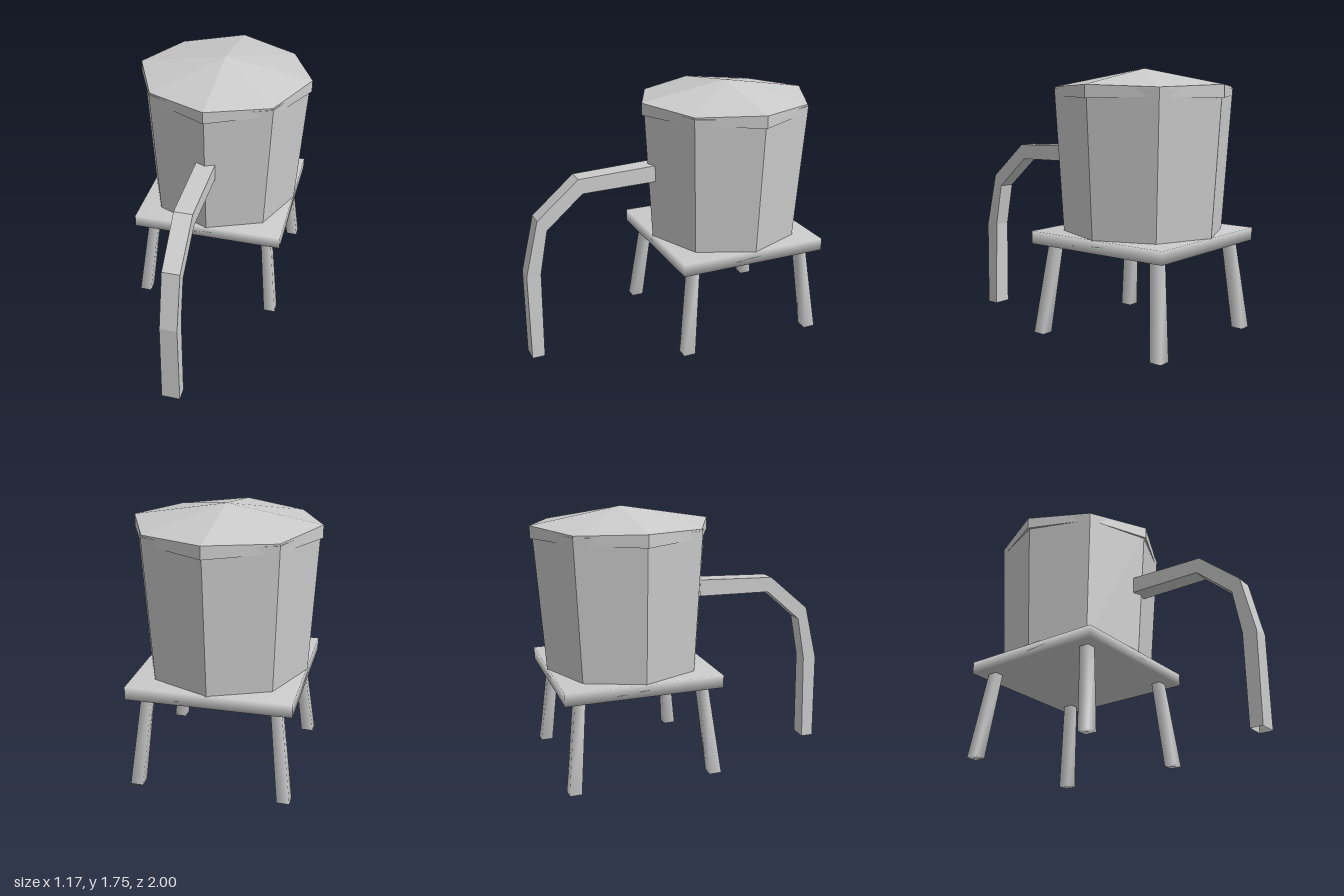
import * as THREE from 'three';
import { mergeVertices } from 'three/addons/utils/BufferGeometryUtils.js';

const CZ = -0.415; // z of the tank axis

const flat = () => new THREE.MeshStandardMaterial({ color: 0xcccccc, flatShading: true });
const smooth = () => new THREE.MeshStandardMaterial({ color: 0xcccccc });

function add(parent, name, geometry, material) {
  const mesh = new THREE.Mesh(geometry, material);
  mesh.name = name;
  parent.add(mesh);
  return mesh;
}

// Box with shared corners, so its normals blend across the edges
function softBox(w, h, d) {
  const box = new THREE.BoxGeometry(w, h, d);
  box.deleteAttribute('normal');
  box.deleteAttribute('uv');
  const geometry = mergeVertices(box);
  geometry.computeVertexNormals();
  return geometry;
}

// Eight-sided lid: the diagonal corners sit slightly further in and lower
function lidGeometry() {
  const profile = [[0, 1.565], [0.585, 1.565], [0.585, 1.645], [0, 1.745]]
    .map(([r, y]) => new THREE.Vector2(r, y));
  const geometry = new THREE.LatheGeometry(profile, 8);
  const p = geometry.attributes.position;
  for (let i = 0; i < p.count; i++) {
    const x = p.getX(i), y = p.getY(i), z = p.getZ(i);
    if (Math.abs(x) > 0.1 && Math.abs(z) > 0.1) {
      p.setXYZ(i, x * 0.968, y > 1.6 ? 1.63 : 1.575, z * 0.968);
    }
  }
  return geometry;
}

// Leg: tapered square post, splayed outward toward its foot
function legGeometry(sx, sz) {
  const geometry = softBox(1, 1, 1);
  const p = geometry.attributes.position;
  for (let i = 0; i < p.count; i++) {
    const top = p.getY(i) > 0;
    const width = top ? 0.066 : 0.08;
    const offset = top ? 0.398 : 0.464;
    p.setXYZ(i, sx * offset + p.getX(i) * width, top ? 0.65 : 0.04, sz * offset + p.getZ(i) * width);
  }
  geometry.computeVertexNormals();
  return geometry;
}

// Spout: open square tube through rings of [half width, outer z, y, inner z, y]
function spoutGeometry() {
  const rings = [
    [0.063, 0.105, 1.235, 0.105, 1.125],
    [0.06, 0.63, 1.215, 0.605, 1.115],
    [0.057, 0.91, 0.975, 0.85, 0.9],
    [0.056, 1.0, 0.6, 0.905, 0.605],
    [0.061, 1.0, 0, 0.915, 0],
  ];
  const positions = [], index = [];
  rings.forEach(([w, oz, oy, iz, iy], r) => {
    positions.push(-w, oy, oz, w, oy, oz, w, iy, iz, -w, iy, iz);
    if (r === 0) return;
    for (let k = 0; k < 4; k++) {
      const a = (r - 1) * 4 + k, b = (r - 1) * 4 + (k + 1) % 4;
      index.push(a, a + 4, b, b, a + 4, b + 4);
    }
  });
  const geometry = new THREE.BufferGeometry();
  geometry.setAttribute('position', new THREE.Float32BufferAttribute(positions, 3));
  geometry.setIndex(index);
  geometry.computeVertexNormals();
  return geometry;
}

export function createModel() {
  const model = new THREE.Group();
  model.name = 'waterTank';

  const tower = new THREE.Group();
  tower.name = 'tower';
  tower.position.z = CZ;
  model.add(tower);

  // Tank flares toward the top
  add(tower, 'tank', new THREE.CylinderGeometry(0.572, 0.515, 0.91, 8), flat()).position.y = 1.165;
  add(tower, 'lid', lidGeometry(), flat());
  add(tower, 'platform', softBox(1.02, 0.083, 1.02), smooth()).position.y = 0.671;

  // Four splayed legs
  for (const sx of [-1, 1]) {
    for (const sz of [-1, 1]) {
      add(tower, `${sz > 0 ? 'front' : 'back'}${sx > 0 ? 'Left' : 'Right'}Leg`, legGeometry(sx, sz), smooth());
    }
  }

  const spoutMaterial = flat();
  spoutMaterial.side = THREE.DoubleSide;
  add(model, 'spout', spoutGeometry(), spoutMaterial);
  return model;
}
